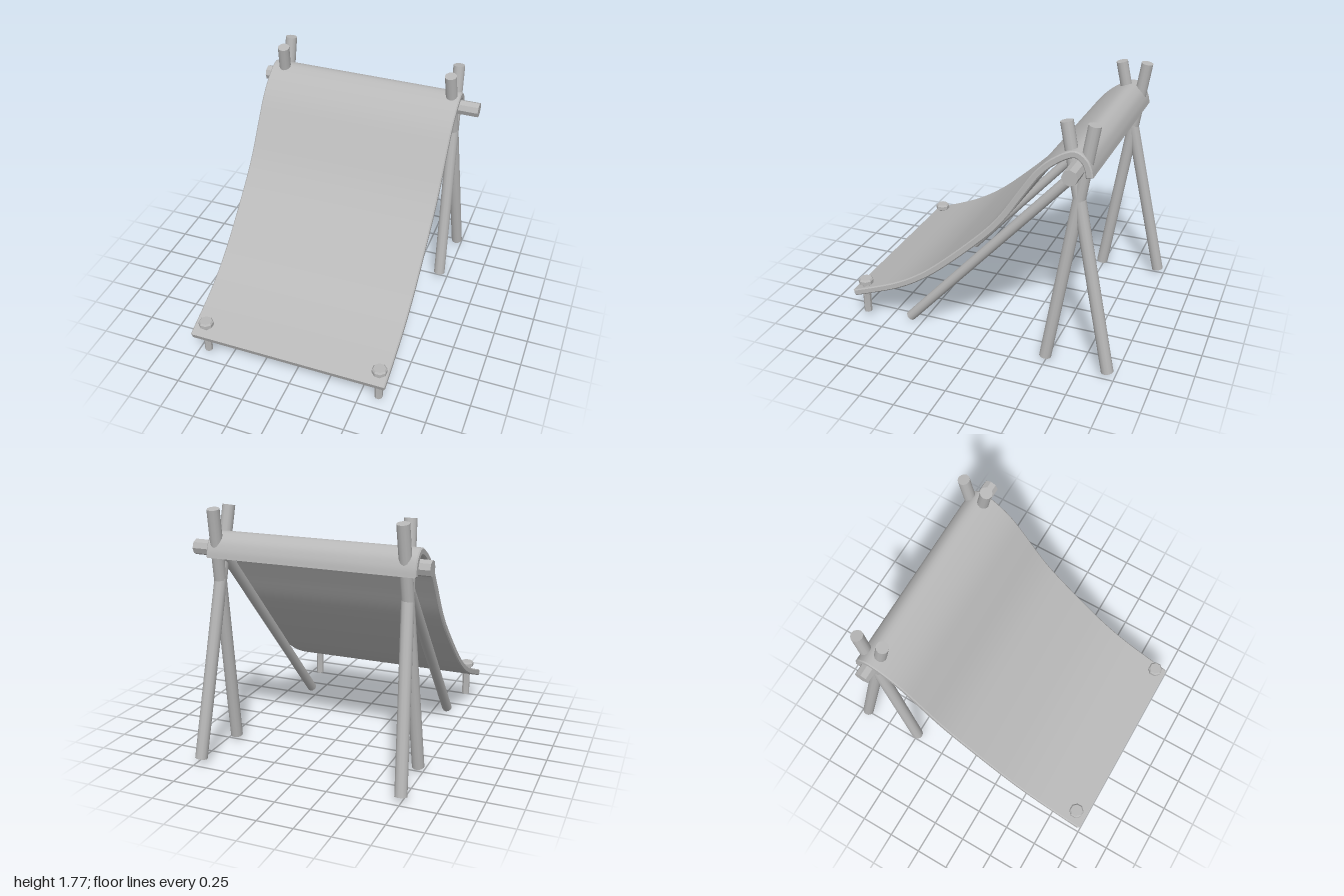
import * as THREE from 'three';
import { toCreasedNormals } from 'three/addons/utils/BufferGeometryUtils.js';

const grey = new THREE.MeshStandardMaterial({ color: 0xb8b8b8 });
grey.name = 'plain grey';

const CENTRE = -0.015; // the frame's own middle in x

function add(parent, name, geometry) {
  const mesh = new THREE.Mesh(geometry, grey);
  mesh.name = name;
  parent.add(mesh);
  return mesh;
}

// Round pole running between two points
function pole(parent, name, from, to, radius) {
  const a = new THREE.Vector3(...from);
  const b = new THREE.Vector3(...to);
  const dir = b.clone().sub(a);
  const mesh = add(parent, name, new THREE.CylinderGeometry(radius, radius, dir.length(), 12));
  mesh.position.copy(a).add(b).multiplyScalar(0.5);
  mesh.quaternion.setFromUnitVectors(new THREE.Vector3(0, 1, 0), dir.normalize());
}

// Sagging sheet: side profile (z, y) thickened and extruded across x
function sheetGeometry() {
  const path = new THREE.SplineCurve([
    [0.985, 0.213], [0.65, 0.346], [0.426, 0.477], [0.222, 0.643], [-0.046, 0.895],
    [-0.185, 1.056], [-0.314, 1.249], [-0.43, 1.415], [-0.54, 1.517], [-0.655, 1.577],
    [-0.722, 1.547], [-0.753, 1.49], [-0.763, 1.44],
  ].map(([z, y]) => new THREE.Vector2(z, y)));
  const bevel = 0.008, half = 0.024 - bevel, width = 1.46, steps = 60;
  const upper = [], lower = [];
  for (let i = 0; i <= steps; i++) {
    const p = path.getPoint(i / steps);
    const t = path.getTangent(i / steps);
    const n = new THREE.Vector2(t.y, -t.x).multiplyScalar(half);
    upper.push(p.clone().add(n));
    lower.unshift(p.clone().sub(n));
  }
  const geometry = new THREE.ExtrudeGeometry(new THREE.Shape([...upper, ...lower]), {
    depth: width - 2 * bevel, bevelEnabled: true, bevelThickness: bevel,
    bevelSize: bevel, bevelSegments: 1, steps: 1,
  });
  geometry.translate(0, 0, -(width - 2 * bevel) / 2);
  geometry.rotateY(-Math.PI / 2);
  return toCreasedNormals(geometry, 0.55);
}

// Faceted peg with a wide chamfered head
function pegGeometry() {
  const profile = [
    [0, 0.043], [0.029, 0.043], [0.029, 0.255], [0.033, 0.27], [0.054, 0.283],
    [0.054, 0.31], [0.044, 0.322], [0, 0.322],
  ].map(([r, y]) => new THREE.Vector2(r, y));
  const geometry = new THREE.LatheGeometry(profile, 8);
  geometry.rotateY(Math.PI / 8);
  return toCreasedNormals(geometry, 0.3);
}

export function createModel() {
  const model = new THREE.Group();
  model.name = 'leanToShelter';

  const sheet = add(model, 'sheet', sheetGeometry());
  sheet.position.x = -0.03;

  // Ridge bar
  const barGeometry = new THREE.CylinderGeometry(0.054, 0.054, 1.667, 8);
  barGeometry.rotateZ(Math.PI / 2);
  const bar = add(model, 'ridgeBar', toCreasedNormals(barGeometry, 0.3));
  bar.position.set(0, 1.48, -0.68);

  // Crossed poles, long strut and ground peg on each side
  for (const [side, s] of [['left', 1], ['right', -1]]) {
    const frame = new THREE.Group();
    frame.name = side + 'Frame';
    frame.position.x = CENTRE;
    model.add(frame);
    pole(frame, 'frontPole', [0.7 * s, 0.04, -0.496], [0.654 * s, 1.765, -0.772], 0.043);
    pole(frame, 'backPole', [0.73 * s, 0.045, -0.948], [0.64 * s, 1.765, -0.587], 0.043);
    pole(frame, 'strut', [0.588 * s, 0.03, 0.598], [0.63 * s, 1.44, -0.675], 0.037);
    const peg = add(frame, 'groundPeg', pegGeometry());
    peg.position.set(0.653 * s, 0, 0.92);
  }
  return model;
}
